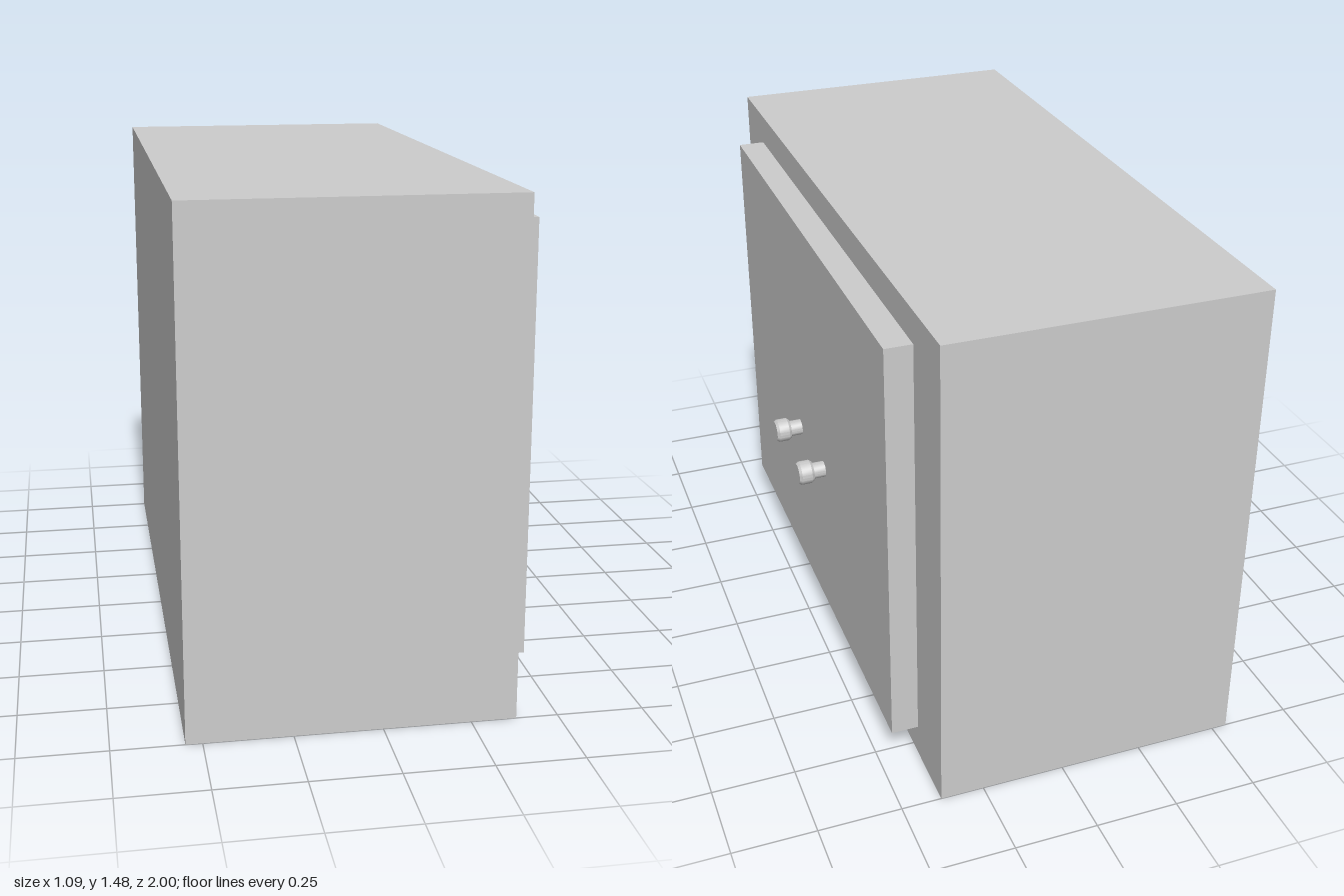
import * as THREE from 'three';
import { toCreasedNormals } from 'three/addons/utils/BufferGeometryUtils.js';

const material = new THREE.MeshStandardMaterial({ color: 0xcccccc });

// Box given by its extents on each axis
function box(name, [x0, x1], [y0, y1], [z0, z1]) {
  const mesh = new THREE.Mesh(new THREE.BoxGeometry(x1 - x0, y1 - y0, z1 - z0), material);
  mesh.position.set((x0 + x1) / 2, (y0 + y1) / 2, (z0 + z1) / 2);
  mesh.name = name;
  return mesh;
}

// Turned knob: thin stem and a wider head with bevelled rims, axis along +x
function knobGeometry() {
  const profile = [
    [0, 0], [0.025, 0], [0.025, 0.038], [0.031, 0.038], [0.037, 0.046],
    [0.037, 0.078], [0.031, 0.086], [0, 0.086],
  ].map(([r, h]) => new THREE.Vector2(r, h));
  const lathe = new THREE.LatheGeometry(profile, 24).rotateZ(-Math.PI / 2);
  return toCreasedNormals(lathe, 0.5);
}

export function createModel() {
  const model = new THREE.Group();
  model.name = 'cabinet';

  model.add(box('cabinetBody', [-0.547, 0.38], [0, 1.476], [-1, 1]));

  // Pair of doors meeting in the middle, each with a knob near the seam
  const knob = knobGeometry();
  for (const [side, s] of [['left', -1], ['right', 1]]) {
    const z = s < 0 ? [-0.795, 0] : [0, 0.795];
    model.add(box(side + 'Door', [0.38, 0.461], [0.1, 1.38], z));
    const mesh = new THREE.Mesh(knob, material);
    mesh.position.set(0.461, 0.634, s * 0.138);
    mesh.name = side + 'Knob';
    model.add(mesh);
  }
  return model;
}
